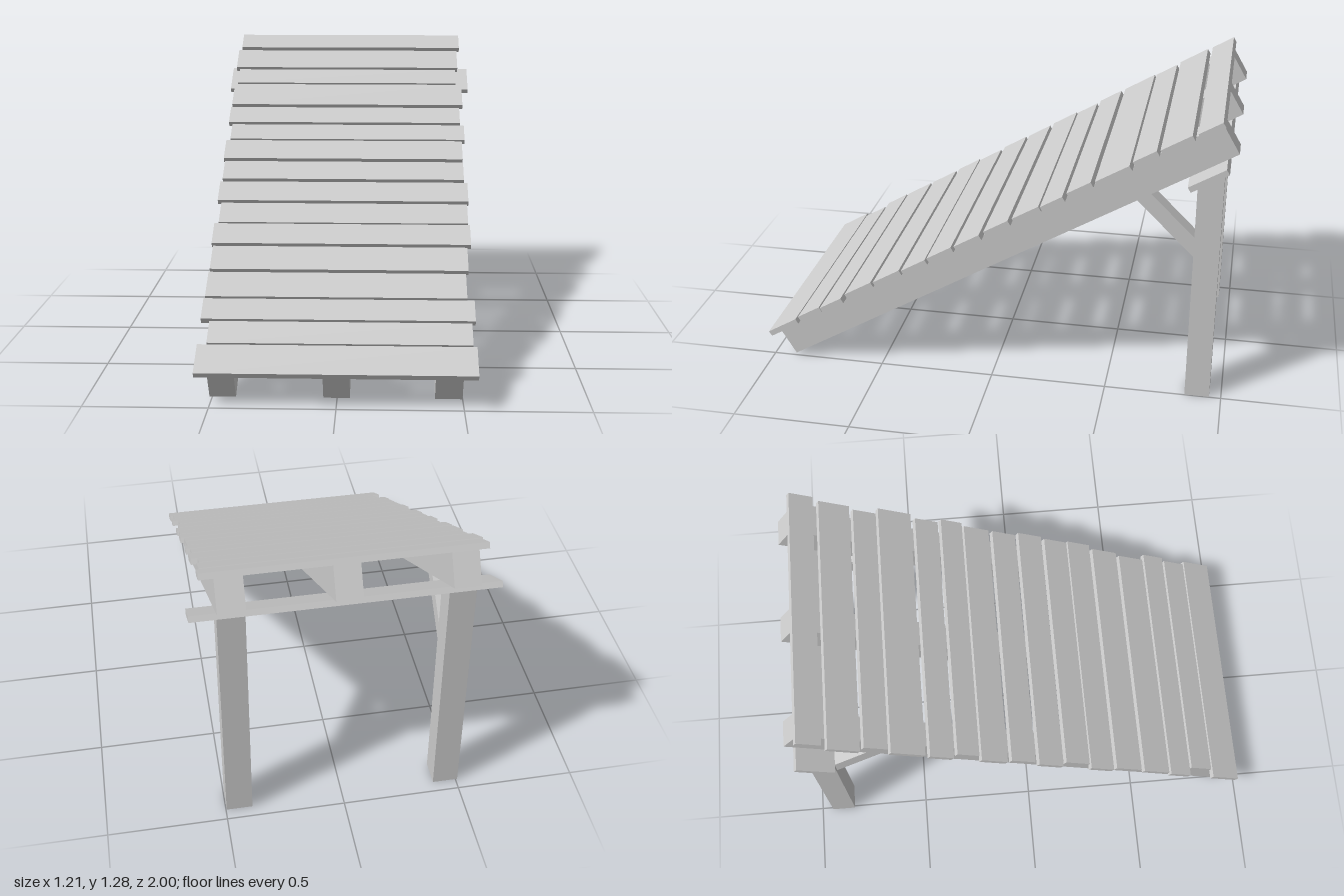
import * as THREE from 'three';

const SLOPE = THREE.MathUtils.degToRad(30.5);
const COS = Math.cos(SLOPE), SIN = Math.sin(SLOPE), TAN = Math.tan(SLOPE);
const FOOT = { y: 0.01, z: 0.9 };      // lower front corner of the beams
const BEAM_H = 0.14, BEAM_LEN = 2.206, PLANK_T = 0.025, PLATE_T = 0.025;

// Height of the beams' underside at a given depth
const underside = (z) => FOOT.y + (FOOT.z - z) * TAN;

export function createModel() {
  const model = new THREE.Group();
  model.name = 'slattedRamp';
  const material = new THREE.MeshStandardMaterial({ color: 0xcccccc, flatShading: true });

  const add = (parent, name, geometry) => {
    const mesh = new THREE.Mesh(geometry, material);
    mesh.name = name;
    parent.add(mesh);
  };

  // Sloped frame: local y is the deck normal, local -z runs up the slope
  const deck = new THREE.Group();
  deck.name = 'deck';
  deck.position.set(0, FOOT.y, FOOT.z);
  deck.rotation.x = SLOPE;
  model.add(deck);

  // Board given by its ranges across, along the normal and up the slope
  const board = (name, x0, x1, n0, n1, s0, s1) => {
    const geometry = new THREE.BoxGeometry(x1 - x0, n1 - n0, s1 - s0);
    geometry.translate((x0 + x1) / 2, (n0 + n1) / 2, -(s0 + s1) / 2);
    add(deck, name, geometry);
  };

  // Three long beams
  for (const [x0, x1] of [[-0.508, -0.402], [-0.054, 0.052], [0.389, 0.498]]) {
    board('beam', x0, x1, 0, BEAM_H, 0, BEAM_LEN);
  }

  // Cross plate between the beams and the posts
  board('crossPlate', -0.604, 0.602, -PLATE_T, 0, 1.985, 2.155);

  // Uneven planks: left end, right end, front and back depth of the top face
  const planks = [
    [-0.558, 0.555, 1.0, 0.872], [-0.521, 0.54, 0.865, 0.765],
    [-0.558, 0.555, 0.755, 0.658], [-0.553, 0.526, 0.648, 0.528],
    [-0.55, 0.538, 0.513, 0.395], [-0.558, 0.555, 0.38, 0.275],
    [-0.54, 0.548, 0.268, 0.162], [-0.558, 0.555, 0.147, 0.04],
    [-0.55, 0.541, 0.023, -0.08], [-0.558, 0.541, -0.098, -0.208],
    [-0.54, 0.555, -0.217, -0.308], [-0.558, 0.538, -0.323, -0.42],
    [-0.555, 0.555, -0.439, -0.575], [-0.541, 0.528, -0.585, -0.678],
    [-0.558, 0.541, -0.693, -0.815], [-0.545, 0.555, -0.837, -0.93],
  ];
  const top = BEAM_H + PLANK_T;
  const along = (z) => (FOOT.z + top * SIN - z) / COS;
  for (const [x0, x1, front, back] of planks) {
    board('plank', x0, x1, BEAM_H, top, along(front), along(back));
  }

  // Upright part from a side outline of [z, y] corners, running from x0 to x1
  const sidePart = (name, outline, x0, x1) => {
    const shape = new THREE.Shape(outline.map(([z, y]) => new THREE.Vector2(-z, y)));
    const geometry = new THREE.ExtrudeGeometry(shape, { depth: x1 - x0, bevelEnabled: false });
    geometry.rotateY(Math.PI / 2).translate(x0, 0, 0);
    add(model, name, geometry);
  };

  // Posts cut to the slope, each with a diagonal brace up to its beam
  const drop = PLATE_T / COS, zFront = -0.845, zBack = -0.95;
  for (const [x0, x1] of [[-0.508, -0.4], [0.387, 0.497]]) {
    sidePart('post', [
      [zFront, 0], [zBack, 0],
      [zBack, underside(zBack) - drop], [zFront, underside(zFront) - drop],
    ], x0, x1);
    sidePart('brace', [
      [zFront, 0.655], [zFront, 0.743],
      [-0.658, underside(-0.658)], [-0.602, underside(-0.602)],
    ], x0 + 0.014, x1 - 0.014);
  }

  return model;
}
